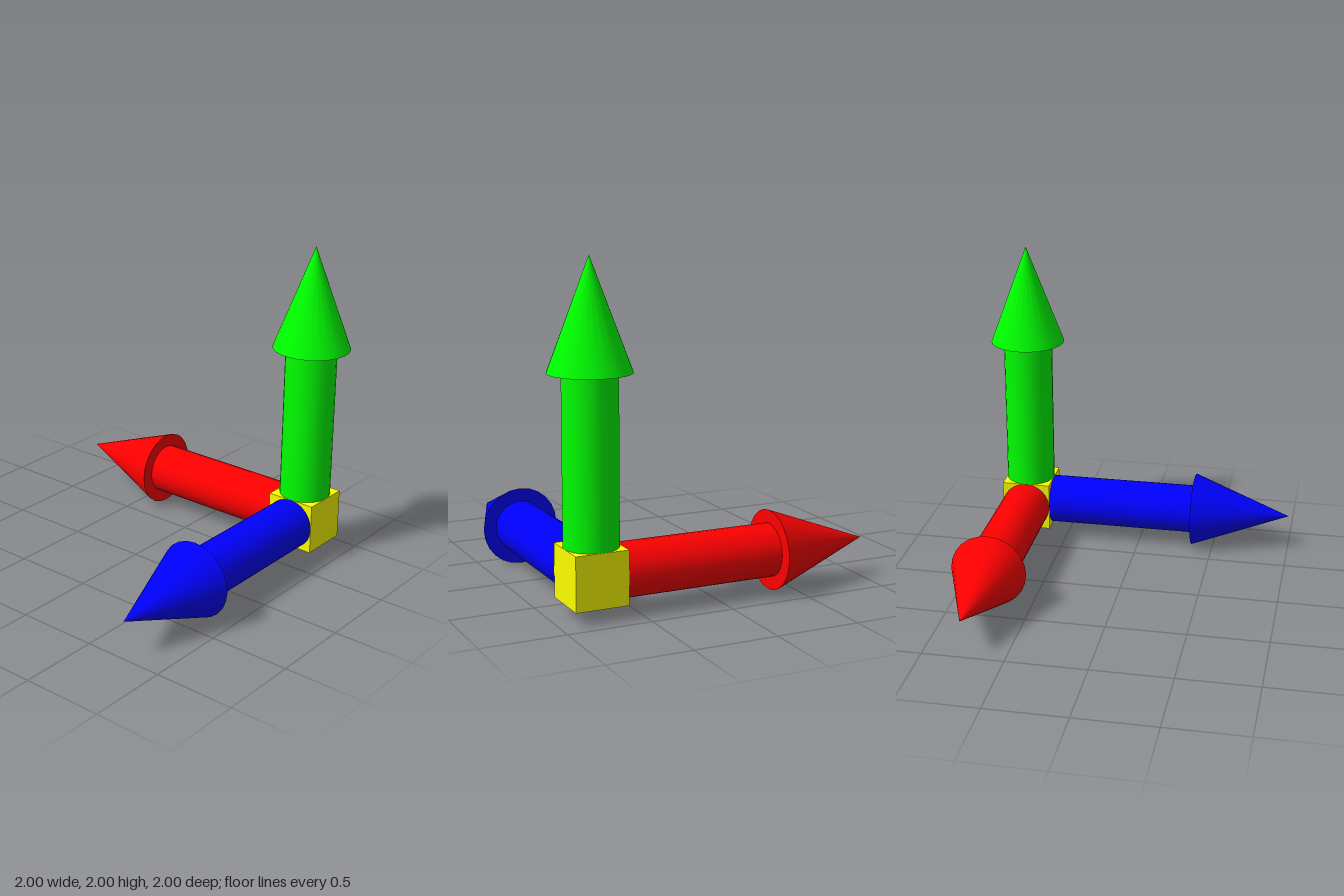
import * as THREE from 'three';

const SHAFT_R = 0.158, HEAD_R = 0.238, HEAD_BASE = 1.123, TIP = 1.757, SIDES = 24;

// An arrow along +y, starting at the face of the hub cube
function makeArrow(name, color) {
  const material = new THREE.MeshStandardMaterial({ color });
  const arrow = new THREE.Group();
  arrow.name = name;

  const shaftLength = HEAD_BASE - SHAFT_R;
  const shaft = new THREE.Mesh(new THREE.CylinderGeometry(SHAFT_R, SHAFT_R, shaftLength, SIDES), material);
  shaft.name = name + 'Shaft';
  shaft.position.y = SHAFT_R + shaftLength / 2;

  const head = new THREE.Mesh(new THREE.ConeGeometry(HEAD_R, TIP - HEAD_BASE, SIDES), material);
  head.name = name + 'Head';
  head.position.y = (HEAD_BASE + TIP) / 2;

  arrow.add(shaft, head);
  return arrow;
}

export function createModel() {
  const model = new THREE.Group();
  model.name = 'axisArrows';

  // Everything is built around the hub, then moved to its corner
  const axes = new THREE.Group();
  axes.name = 'axes';
  axes.position.set(0.757, 0.243, -0.757);
  model.add(axes);

  const hub = new THREE.Mesh(
    new THREE.BoxGeometry(SHAFT_R * 2, SHAFT_R * 2, SHAFT_R * 2),
    new THREE.MeshStandardMaterial({ color: 0xffff00 })
  );
  hub.name = 'hubCube';

  const up = makeArrow('upArrow', 0x00ff00);
  const side = makeArrow('sideArrow', 0xff0000);
  side.rotation.z = Math.PI / 2; // points to -x
  const front = makeArrow('frontArrow', 0x0000ff);
  front.rotation.x = Math.PI / 2; // points to +z

  axes.add(hub, up, side, front);
  return model;
}
